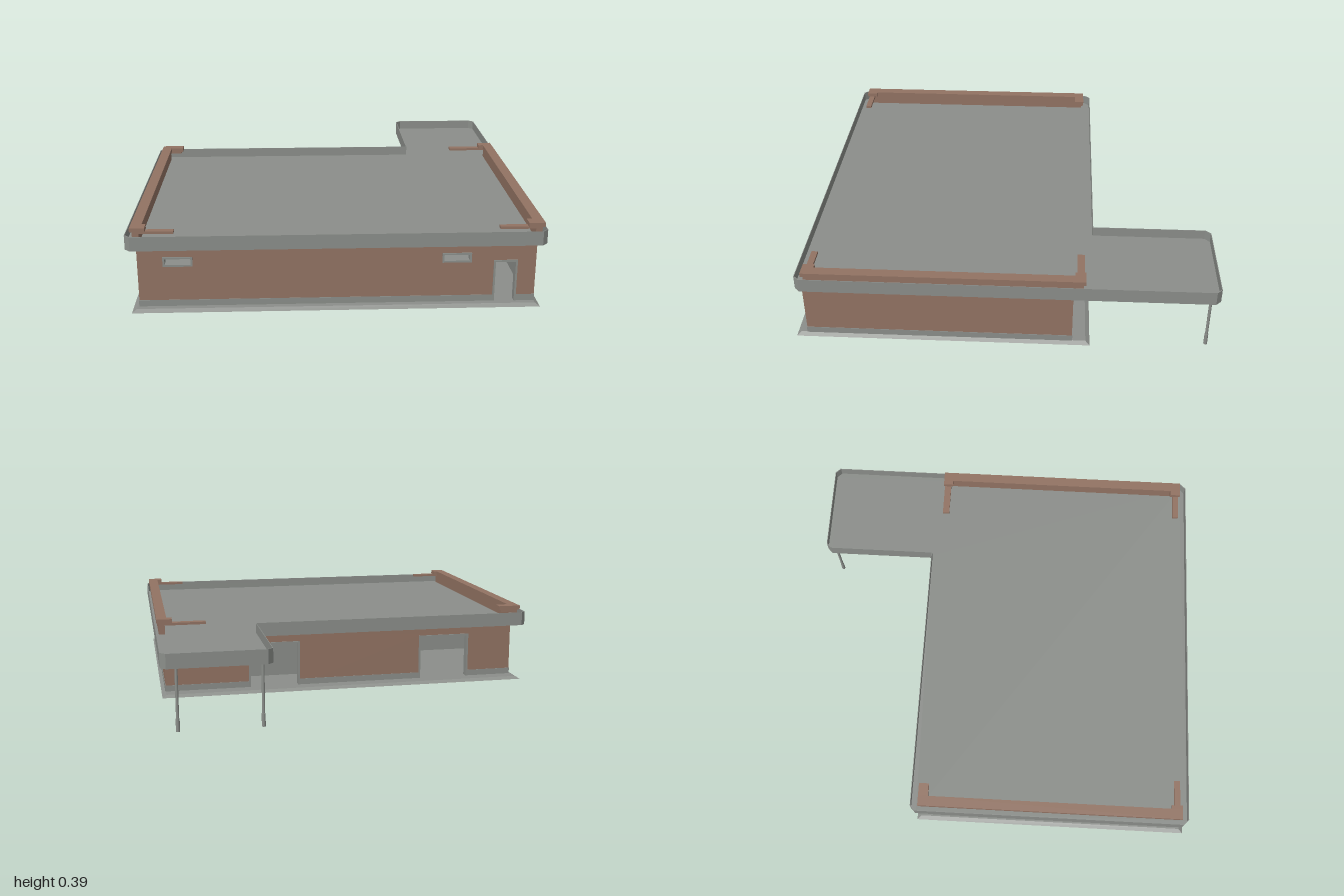
import * as THREE from 'three';

const mat = (name, color) => {
  const m = new THREE.MeshStandardMaterial({ color });
  m.name = name;
  return m;
};

export function createModel() {
  const model = new THREE.Group();
  model.name = 'building';
  const brick = mat('brick brown', 0x927363);
  const grey = mat('concrete grey', 0x8b8e8a);

  const add = (name, geo, material, parent = model) => {
    const mesh = new THREE.Mesh(geo, material);
    mesh.name = name;
    parent.add(mesh);
    return mesh;
  };
  // Box given by its lower and upper limits on each axis
  const box = (name, material, x0, x1, y0, y1, z0, z1, parent = model) => {
    const mesh = add(name, new THREE.BoxGeometry(x1 - x0, y1 - y0, z1 - z0), material, parent);
    mesh.position.set((x0 + x1) / 2, (y0 + y1) / 2, (z0 + z1) / 2);
    return mesh;
  };

  // Ground slab whose apron slopes up gently to the walls
  const slab = box('groundSlab', grey, -0.94, 0.93, 0, 0.012, -0.41, 1);
  const corners = slab.geometry.attributes.position;
  for (let i = 0; i < corners.count; i++) {
    if (corners.getY(i) < 0) continue;
    corners.setX(i, corners.getX(i) - Math.sign(corners.getX(i)) * 0.02);
    corners.setZ(i, corners.getZ(i) - Math.sign(corners.getZ(i)) * 0.02);
  }
  slab.geometry = slab.geometry.toNonIndexed();
  slab.geometry.computeVertexNormals();

  // Openings as [name, x0, x1, y0, y1]; doors start at the floor
  const floor = 0.01;
  const front = [
    ['frontWindow', -0.795, -0.66, 0.207, 0.253],
    ['frontWindow', 0.477, 0.612, 0.207, 0.253],
    ['frontDoor', 0.715, 0.825, floor, 0.215],
  ];
  const back = [
    ['backDoor', -0.676, -0.406, floor, 0.24],
    ['backDoor', 0.228, 0.49, floor, 0.24],
    ['backWindow', 0.535, 0.795, 0.135, 0.24],
  ];

  // Wall outline with door notches and window holes, as thick as z0 to z1
  const wall = (name, material, half, openings, z0, z1) => {
    const outline = [[-half, floor]];
    const holes = [];
    for (const [, x0, x1, y0, y1] of openings) {
      if (y0 === floor) outline.push([x0, floor], [x0, y1], [x1, y1], [x1, floor]);
      else holes.push([[x0, y0], [x0, y1], [x1, y1], [x1, y0]]);
    }
    outline.push([half, floor], [half, 0.297], [-half, 0.297]);
    const toVectors = (pts) => pts.map(([x, y]) => new THREE.Vector2(x, y));
    const shape = new THREE.Shape(toVectors(outline));
    shape.holes = holes.map((h) => new THREE.Path(toVectors(h)));
    const geo = new THREE.ExtrudeGeometry(shape, { depth: z1 - z0, bevelEnabled: false });
    add(name, geo, material).position.z = z0;
  };
  wall('frontWall', brick, 0.91, front, 0.925, 0.95);
  wall('frontLining', grey, 0.885, front, 0.92, 0.925);
  wall('backWall', brick, 0.91, back, -0.325, -0.3);
  wall('backLining', grey, 0.885, back, -0.3, -0.295);
  for (const s of [-1, 1]) {
    const side = (name, material, a, b, y1, z0, z1) =>
      box(name, material, Math.min(s * a, s * b), Math.max(s * a, s * b), floor, y1, z0, z1);
    side('sideWall', brick, 0.885, 0.91, 0.297, -0.3, 0.925);
    side('sideLining', grey, 0.88, 0.885, 0.297, -0.295, 0.92);
    side('sidePlinth', grey, 0.91, 0.912, 0.042, -0.327, 0.952);
  }

  // Inner partitions behind the openings
  box('partition', grey, -0.1, 0.88, floor, 0.293, -0.11, -0.09);
  box('partition', grey, -0.88, -0.1, floor, 0.293, 0.29, 0.31);
  box('partition', grey, -0.11, -0.09, floor, 0.293, -0.09, 0.29);

  // Frames around the openings, and plinth strips between the doors
  const dress = (openings, outer, dir) => {
    const strip = (name, parent, x0, x1, y0, y1, proud, deep) => {
      const a = outer + dir * proud, b = outer - dir * deep;
      box(name, grey, x0, x1, y0, y1, Math.min(a, b), Math.max(a, b), parent);
    };
    const t = 0.009;
    let start = -0.91;
    for (const [name, x0, x1, y0, y1] of openings) {
      const frame = new THREE.Group();
      frame.name = name + 'Frame';
      model.add(frame);
      strip('jamb', frame, x0, x0 + t, y0, y1, 0.005, 0.032);
      strip('jamb', frame, x1 - t, x1, y0, y1, 0.005, 0.032);
      strip('lintel', frame, x0 + t, x1 - t, y1 - t, y1, 0.005, 0.032);
      if (y0 > floor) strip('sill', frame, x0 + t, x1 - t, y0, y0 + t, 0.005, 0.032);
      else {
        strip('plinth', model, start, x0, floor, 0.042, 0.002, 0);
        start = x1;
      }
    }
    strip('plinth', model, start, 0.91, floor, 0.042, 0.002, 0);
  };
  dress(front, 0.95, 1);
  dress(back, -0.325, -1);

  // L-shaped roof outline with clipped outer corners; inset moves it inward
  const roofPoints = (i) => {
    const c = 0.025, l = -0.96 + i, r = 0.955 - i, f = 0.975 - i, b = -0.42 + i, n = 0.46 + i, e = -1 + i;
    return [
      [l + c, f], [r - c, f], [r, f - c], [r, e + c], [r - c, e], [n + c, e],
      [n, e + c], [n, b], [l + c, b], [l, b + c], [l, f - c],
    ].map(([x, z]) => new THREE.Vector2(x, -z));
  };
  const extrudeUp = (name, shape, y0, y1) => {
    const geo = new THREE.ExtrudeGeometry(shape, { depth: y1 - y0, bevelEnabled: false });
    add(name, geo.rotateX(-Math.PI / 2), grey).position.y = y0;
  };

  // Sunken roof deck inside a thin raised fascia
  const deck = 0.313;
  extrudeUp('roofDeck', new THREE.Shape(roofPoints(0.003)), 0.293, deck);
  const rim = new THREE.Shape(roofPoints(0));
  rim.holes.push(new THREE.Path(roofPoints(0.003)));
  extrudeUp('roofFascia', rim, 0.293, 0.361);

  // Side parapets with wider caps, corner returns and thin stub rails
  for (const s of [-1, 1]) {
    const parapet = new THREE.Group();
    parapet.name = s < 0 ? 'rightParapet' : 'leftParapet';
    model.add(parapet);
    const span = (name, a, b, y0, y1, z0, z1) =>
      box(name, brick, Math.min(s * a, s * b), Math.max(s * a, s * b), y0, y1, z0, z1, parapet);
    const o = s < 0 ? 0.938 : 0.945;
    const backReturn = s < 0 ? 0.825 : 0.87;
    span('parapetWall', o - 0.01, o - 0.04, deck, 0.37, -0.37, 0.93);
    span('parapetCap', o, o - 0.05, 0.37, 0.39, -0.38, 0.94);
    span('frontCapReturn', o - 0.05, 0.87, 0.37, 0.39, 0.885, 0.94);
    span('backCapReturn', o - 0.05, backReturn, 0.37, 0.39, -0.38, -0.33);
    span('frontStubRail', o - 0.04, 0.742, 0.358, 0.37, 0.9, 0.93);
    span('backStubRail', o - 0.04, s < 0 ? 0.835 : 0.705, 0.358, 0.37, -0.375, -0.34);
  }

  // Canopy posts with thicker feet
  for (const x of [0.505, 0.885]) {
    const post = new THREE.Group();
    post.name = 'canopyPost';
    post.position.set(x, 0, -0.963);
    model.add(post);
    const cyl = (name, r, y0, y1) => {
      add(name, new THREE.CylinderGeometry(r, r, y1 - y0, 12), grey, post).position.y = (y0 + y1) / 2;
    };
    cyl('shaft', 0.007, 0.05, 0.3);
    cyl('foot', 0.009, 0, 0.06);
  }
  return model;
}
